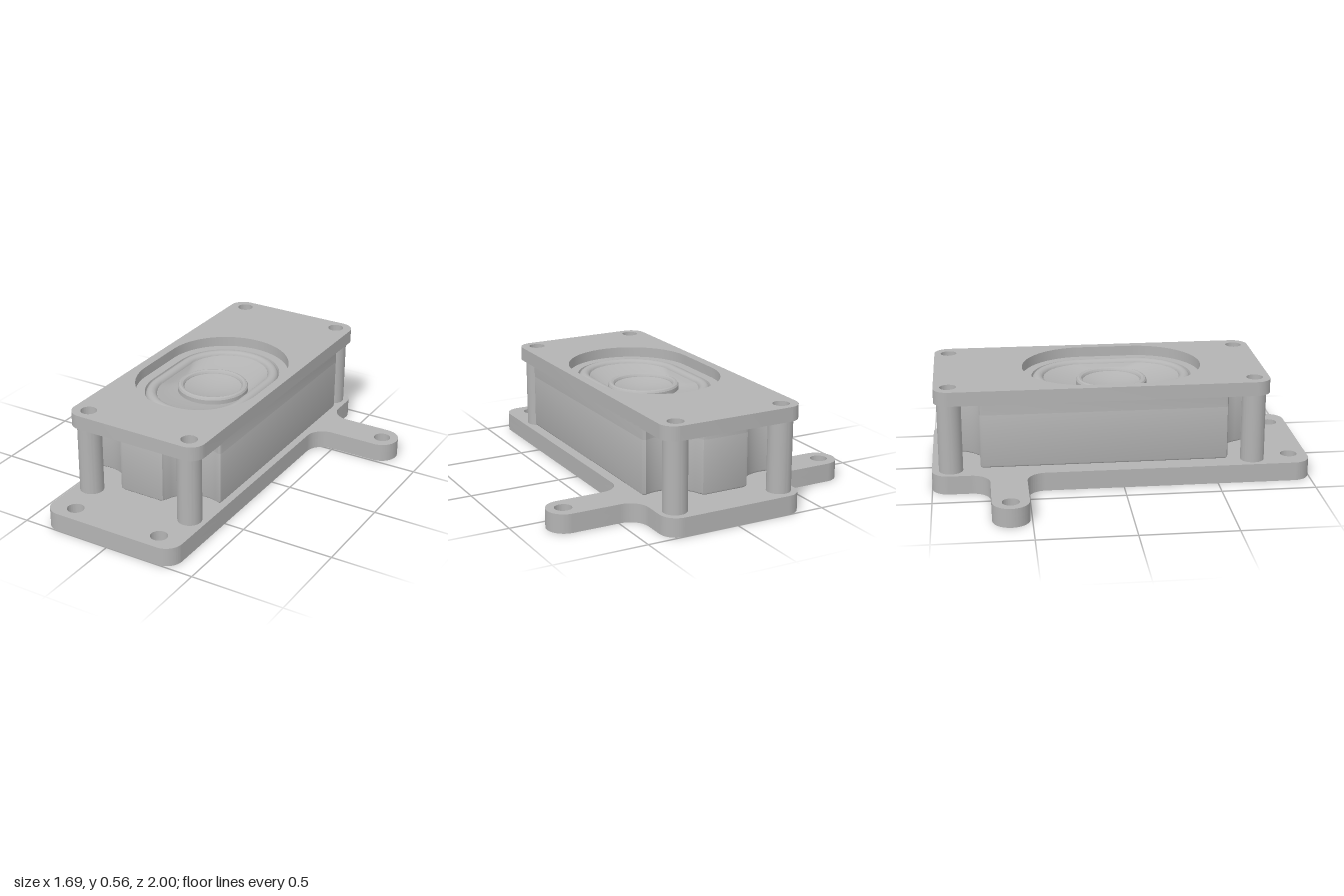
import * as THREE from 'three';
import { toCreasedNormals } from 'three/addons/utils/BufferGeometryUtils.js';

const PI = Math.PI;
const DRIVER_Z = -0.028;   // centre of the speaker opening
const BOX_Z = -0.1;        // centre of the enclosure
const POSTS = [[0.3, 0.695], [-0.3, 0.695], [0.3, -0.9], [-0.3, -0.9]];

export function createModel() {
  const model = new THREE.Group();
  const grey = new THREE.MeshStandardMaterial({ color: 0xb3b3b3 });
  grey.name = 'grey plastic';

  const add = (name, geometry) => {
    const mesh = new THREE.Mesh(toCreasedNormals(geometry, 0.5), grey);
    mesh.name = name;
    model.add(mesh);
    return mesh;
  };

  // Plan shape in (x, z), extruded vertically between two heights
  const slab = (name, shape, y0, y1, bevel = 0) => {
    const g = new THREE.ExtrudeGeometry(shape, {
      depth: y1 - y0 - 2 * bevel, curveSegments: 24, bevelEnabled: bevel > 0,
      bevelThickness: bevel, bevelSize: bevel, bevelOffset: -bevel, bevelSegments: 3,
    });
    g.rotateX(PI / 2).translate(0, y1 - bevel, 0);
    return add(name, g);
  };

  const drill = (shape, spots, r) => {
    for (const [x, z] of spots) shape.holes.push(new THREE.Path().absarc(x, z, r, 0, 2 * PI, true));
    return shape;
  };

  const stadium = (r, h) => new THREE.Path()
    .absarc(0, DRIVER_Z + h, r, 0, PI, false)
    .absarc(0, DRIVER_Z - h, r, PI, 2 * PI, false)
    .closePath();

  // Base plate with two rounded ears
  const basePlan = () => {
    const s = new THREE.Shape(), w = 0.39, r = 0.09;
    s.absarc(w - r, 1 - r, r, 0, PI / 2, false);
    s.absarc(r - w, 1 - r, r, PI / 2, PI, false);
    s.absarc(-0.49, -0.41, 0.1, 0, -PI / 2, true);
    s.absarc(-0.75, -0.605, 0.095, PI / 2, 1.5 * PI, false);
    s.absarc(-0.49, -0.8, 0.1, PI / 2, 0, true);
    s.absarc(r - w, r - 1, r, PI, 1.5 * PI, false);
    s.absarc(w - r, r - 1, r, 1.5 * PI, 2 * PI, false);
    s.absarc(0.49, -0.8, 0.1, PI, PI / 2, true);
    s.absarc(0.75, -0.605, 0.095, -PI / 2, PI / 2, false);
    s.absarc(0.49, -0.41, 0.1, 1.5 * PI, PI, true);
    s.closePath();
    return drill(s, [[0.757, -0.605], [-0.757, -0.605], [0.253, 0.905], [-0.253, 0.905]], 0.045);
  };
  slab('basePlateCounterbored', drill(basePlan(), POSTS, 0.063), 0, 0.055);
  slab('basePlateTop', drill(basePlan(), POSTS, 0.043), 0.055, 0.1);

  // Hollow stand-off posts
  for (const [x, z] of POSTS) {
    const ring = new THREE.Shape().absarc(x, z, 0.063, 0, 2 * PI, false);
    slab('standoffPost', drill(ring, [[x, z]], 0.043), 0.1, 0.48);
  }

  // Speaker flange with the oblong opening
  const flange = new THREE.Shape(), fr = 0.08;
  flange.absarc(0.39 - fr, 0.775 - fr, fr, 0, PI / 2, false);
  flange.absarc(fr - 0.39, 0.775 - fr, fr, PI / 2, PI, false);
  flange.absarc(fr - 0.39, fr - 0.977, fr, PI, 1.5 * PI, false);
  flange.absarc(0.39 - fr, fr - 0.977, fr, 1.5 * PI, 2 * PI, false);
  flange.closePath();
  drill(flange, POSTS, 0.043);
  flange.holes.push(stadium(0.34, 0.14));
  slab('speakerFlange', flange, 0.48, 0.555);

  // Enclosure plan: one quarter with a scoop around the post, mirrored four ways
  const quarter = [[0.11, 0.78], [0.126, 0.774], [0.132, 0.76]];
  for (let i = 0; i <= 14; i++) {
    const a = THREE.MathUtils.lerp(-PI + 0.3, -1.107, i / 14);
    quarter.push([0.3 + 0.168 * Math.cos(a), 0.797 + 0.168 * Math.sin(a)]);
  }
  quarter.push([0.386, 0.641], [0.39, 0.628]);
  const turn = (sx, sz, flip) => {
    const pts = quarter.map(([x, z]) => new THREE.Vector2(sx * x, BOX_Z + sz * z));
    return flip ? pts.reverse() : pts;
  };
  const boxPlan = () => new THREE.Shape([
    ...turn(1, 1, true), ...turn(-1, 1, false), ...turn(-1, -1, true), ...turn(1, -1, false),
  ]);
  slab('enclosure', boxPlan(), 0.138, 0.44, 0.014);
  const collar = boxPlan();
  collar.holes.push(stadium(0.3, 0.14));
  slab('enclosureCollar', collar, 0.426, 0.485);

  // Surface through oblong rings, from outside in; each row is [radius, half straight, y]
  const sweep = (name, rows) => {
    const half = 32, n = 2 * (half + 1), pos = [], idx = [];
    for (const [r, h, y] of rows) {
      for (const side of [1, -1]) {
        for (let k = 0; k <= half; k++) {
          const a = (k / half) * PI;
          pos.push(side * r * Math.cos(a), y, DRIVER_Z + side * (h + r * Math.sin(a)));
        }
      }
    }
    for (let i = 0; i < rows.length - 1; i++) {
      for (let j = 0; j < n; j++) {
        const a = i * n + j, c = i * n + (j + 1) % n;
        idx.push(a, a + n, c, a + n, c + n, c);
      }
    }
    const g = new THREE.BufferGeometry();
    g.setAttribute('position', new THREE.Float32BufferAttribute(pos, 3));
    g.setIndex(idx);
    add(name, g);
  };

  // Driver: ledge, half-roll surround, cone, raised ring and dished cap
  sweep('driverLedge', [[0.345, 0.14, 0.5], [0.29, 0.14, 0.5], [0.285, 0.14, 0.482]]);
  const roll = [];
  for (let i = 0; i <= 10; i++) {
    const a = (i / 10) * PI;
    roll.push([0.255 + 0.03 * Math.cos(a), 0.14, 0.482 + 0.028 * Math.sin(a)]);
  }
  sweep('surround', roll);
  sweep('cone', [[0.225, 0.14, 0.492], [0.213, 0.093, 0.476], [0.201, 0.047, 0.462], [0.186, 0, 0.45]]);
  sweep('capRing', [[0.19, 0, 0.448], [0.19, 0, 0.474], [0.184, 0, 0.483], [0.173, 0, 0.487],
    [0.162, 0, 0.483], [0.155, 0, 0.474], [0.153, 0, 0.462]]);
  const dish = [];
  for (let i = 0; i <= 6; i++) {
    const t = 1 - i / 6;
    dish.push([0.155 * t, 0, 0.447 + 0.023 * t * t]);
  }
  sweep('dishedCap', dish);

  return model;
}
